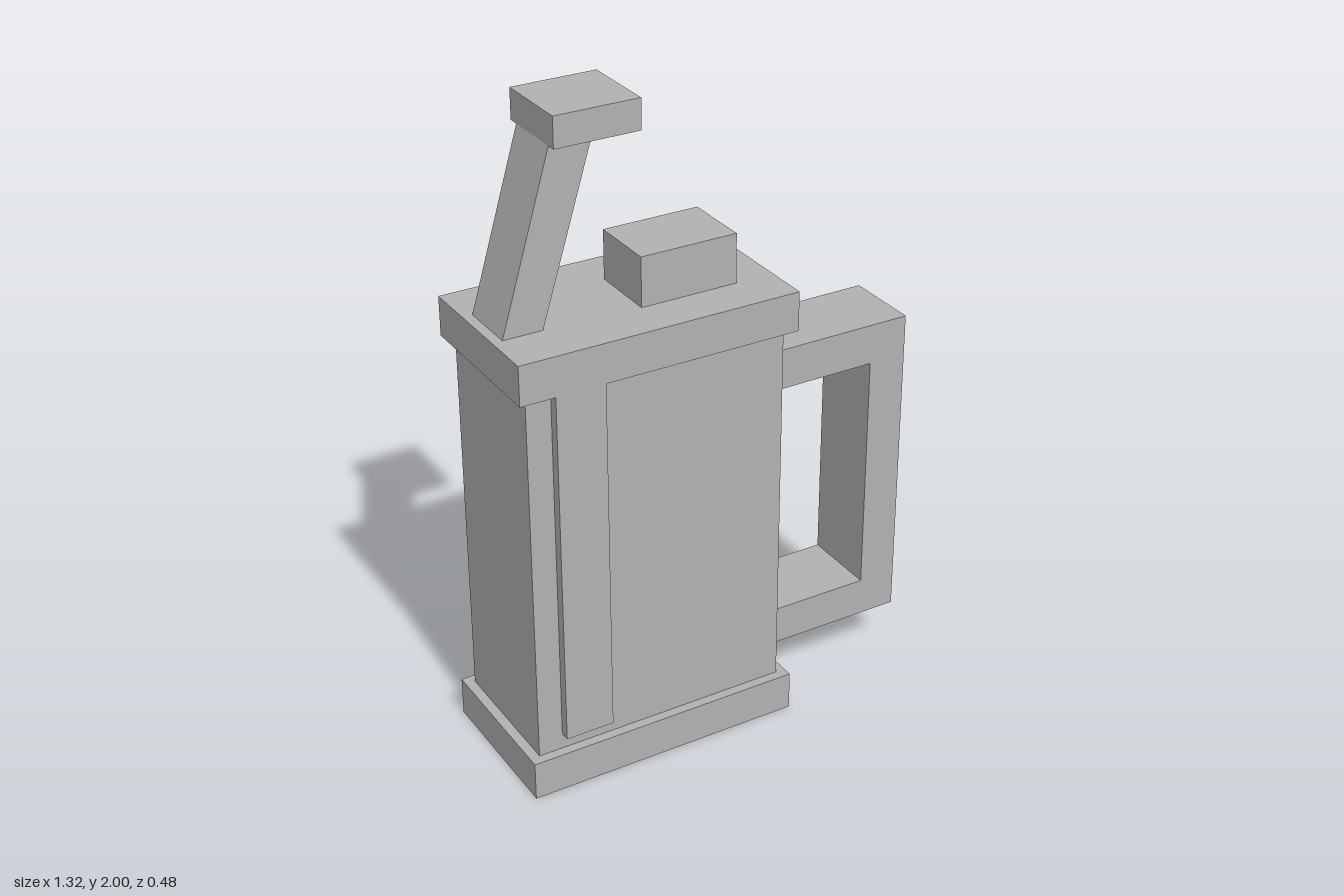
import * as THREE from 'three';

export function createModel() {
  const group = new THREE.Group();
  const grey = new THREE.MeshStandardMaterial({ color: 0xb2b2b2 });
  grey.name = 'grey';

  const add = (name, geometry) => {
    const mesh = new THREE.Mesh(geometry, grey);
    mesh.name = name;
    group.add(mesh);
    return mesh;
  };

  // Box given by its x, y and z ranges
  const box = (name, x0, x1, y0, y1, z0, z1) =>
    add(name, new THREE.BoxGeometry(x1 - x0, y1 - y0, z1 - z0))
      .position.set((x0 + x1) / 2, (y0 + y1) / 2, (z0 + z1) / 2);

  // Side profile in x, y extruded evenly about z = 0
  const profile = (name, points, halfDepth) => {
    const shape = new THREE.Shape(points.map(([x, y]) => new THREE.Vector2(x, y)));
    const geometry = new THREE.ExtrudeGeometry(shape, { depth: halfDepth * 2, bevelEnabled: false });
    add(name, geometry.translate(0, 0, -halfDepth));
  };

  // Container with its wider base and lid
  box('base', -0.66, 0.2, 0, 0.12, -0.24, 0.24);
  box('body', -0.63, 0.17, 0.12, 1.275, -0.21, 0.21);
  box('lid', -0.66, 0.2, 1.275, 1.395, -0.24, 0.24);
  box('lidKnob', -0.22, 0.08, 1.395, 1.545, -0.105, 0.105);

  // Raised vertical strip on the front and back
  box('frontStrip', -0.555, -0.405, 0.17, 1.275, 0.21, 0.24);
  box('backStrip', -0.555, -0.405, 0.17, 1.275, -0.24, -0.21);

  // Leaning lever with a flat thumb pad
  profile('leverArm', [[-0.63, 1.395], [-0.51, 1.395], [-0.352, 1.91], [-0.477, 1.91]], 0.09);
  box('leverPad', -0.478, -0.222, 1.91, 2, -0.12, 0.12);

  // C-shaped handle
  profile('handle', [
    [0.17, 0.155], [0.655, 0.155], [0.655, 1.155], [0.17, 1.155],
    [0.17, 1.03], [0.535, 1.03], [0.535, 0.275], [0.17, 0.275],
  ], 0.12);

  return group;
}
